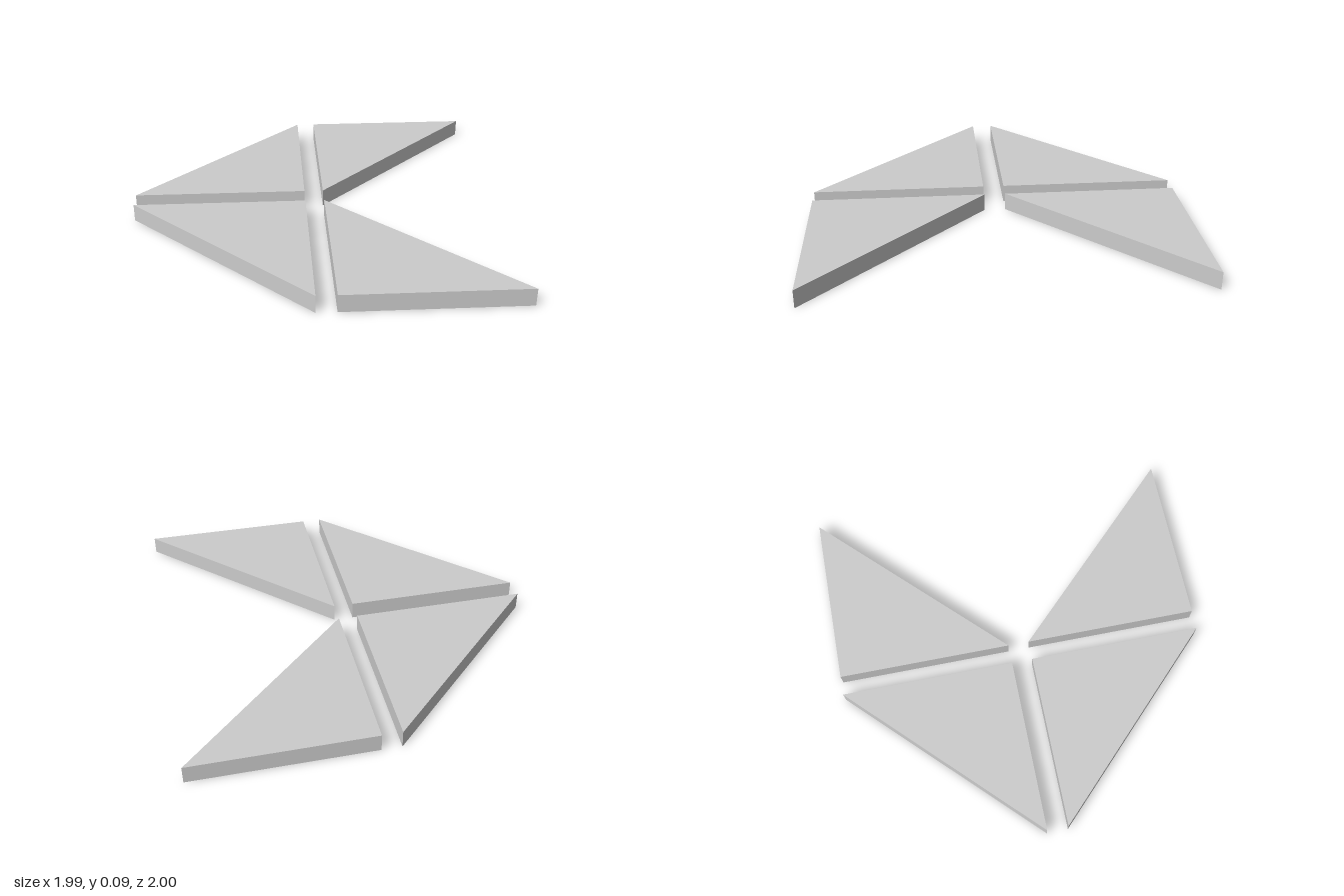
import * as THREE from 'three';

const HEIGHT = 0.095;
const IN_X = 0.052, OUT_X = 0.995; // inner and outer edges across
const IN_Z = 0.057, OUT_Z = 1;     // inner and outer edges in depth

export function createModel() {
  const group = new THREE.Group();
  const material = new THREE.MeshStandardMaterial({ color: 0xcccccc, flatShading: true });

  // Right-angled corners of the two back tiles as [x, distance from the middle]
  const tiles = {
    LeftTile: [[IN_X, IN_Z], [OUT_X, OUT_Z], [IN_X, OUT_Z]],
    RightTile: [[-IN_X, IN_Z], [-IN_X, OUT_Z], [-OUT_X, IN_Z]],
  };

  // Each tile is a flat triangular prism, mirrored from back to front
  for (const [name, corners] of Object.entries(tiles)) {
    for (const [end, side] of [['back', 1], ['front', -1]]) {
      const shape = new THREE.Shape(corners.map(([x, d]) => new THREE.Vector2(x, d * side)));
      const geometry = new THREE.ExtrudeGeometry(shape, { depth: HEIGHT, bevelEnabled: false });
      geometry.rotateX(-Math.PI / 2);
      const mesh = new THREE.Mesh(geometry, material);
      mesh.name = end + name;
      group.add(mesh);
    }
  }
  return group;
}
